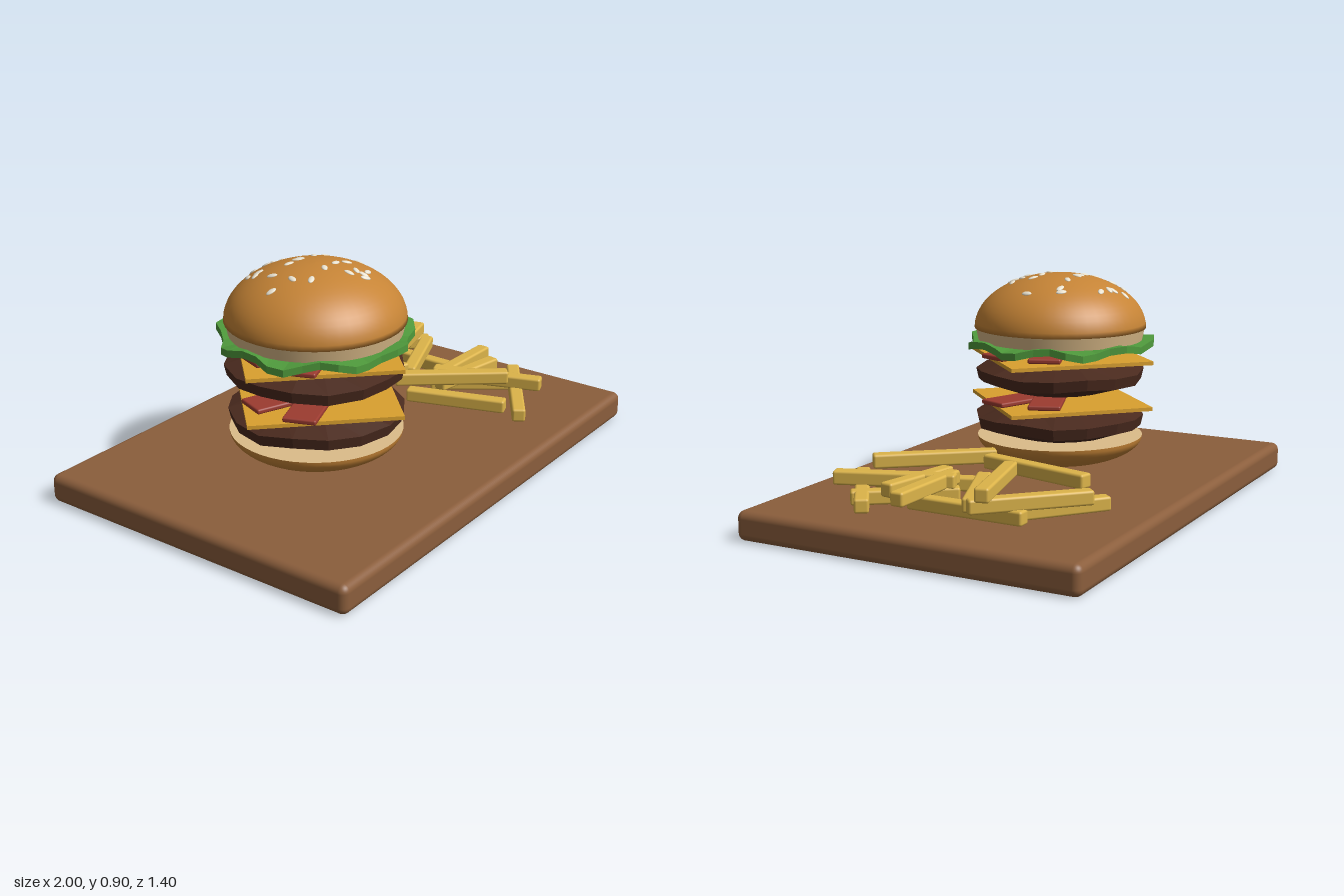
import * as THREE from 'three';
import { RoundedBoxGeometry } from 'three/addons/geometries/RoundedBoxGeometry.js';

const mat = (color, flatShading = false) => new THREE.MeshStandardMaterial({ color, flatShading });
const BOARD_TOP = 0.115;

function part(parent, name, geometry, material, x = 0, y = 0, z = 0) {
  const mesh = new THREE.Mesh(geometry, material);
  mesh.name = name;
  mesh.position.set(x, y, z);
  parent.add(mesh);
  return mesh;
}

// Lathe from [radius, y] pairs listed bottom to top
const lathe = (pairs, segments) =>
  new THREE.LatheGeometry(pairs.map(([r, y]) => new THREE.Vector2(r, y)), segments);

// Quarter-ellipse profile: side = 1 for a dome, -1 for a bowl
function ellipseProfile(radius, height, side, steps = 16) {
  const pts = [];
  for (let i = 0; i <= steps; i++) {
    const a = (i / steps) * Math.PI / 2;
    pts.push([Math.max(0, radius * Math.cos(a)), side * height * Math.sin(a)]);
  }
  return side > 0 ? pts : pts.reverse();
}

// Move each vertex by a rule of its angle, radius and height
function reshape(geometry, rule) {
  const p = geometry.attributes.position;
  for (let i = 0; i < p.count; i++) {
    const x = p.getX(i), y = p.getY(i), z = p.getZ(i);
    const [scale, lift] = rule(Math.atan2(x, z), Math.hypot(x, z), y);
    p.setXYZ(i, x * scale, y + lift, z * scale);
  }
  geometry.computeVertexNormals();
  return geometry;
}

// Faceted, slightly uneven meat disc
function pattyGeometry(phase) {
  const disc = lathe([[0, -0.065], [0.2, -0.065], [0.335, -0.022], [0.345, 0.022], [0.2, 0.065], [0, 0.065]], 16);
  return reshape(disc, (a, r) => {
    const bump = Math.sin(a * 3 + phase) + Math.sin(a * 7 + phase * 2);
    return [1 + 0.014 * bump, r > 0.25 ? 0.006 * Math.sin(a * 5 + phase) : 0];
  });
}

// Leaf with a ruffled, zigzag rim
function lettuceGeometry() {
  const leaf = lathe([[0, -0.008], [0.27, -0.008], [0.37, -0.014], [0.37, 0.014], [0.27, 0.012], [0, 0.012]], 36);
  return reshape(leaf, (a, r) => {
    const rim = THREE.MathUtils.clamp((r - 0.2) / 0.17, 0, 1);
    return [1 + rim * 0.05 * Math.sin(a * 9 + 0.6), rim * (0.013 * Math.sin(a * 7 + 1) - 0.006)];
  });
}

// Sesame seeds as [x, z] offsets from the bun centre
const SEEDS = [
  [-.04, -.27], [-.13, -.22], [-.14, -.175], [-.115, -.18], [.005, -.24], [.025, -.23], [.08, -.22],
  [-.23, -.025], [-.15, -.085], [-.15, .01], [-.12, .075], [-.05, -.085], [0, -.085], [.02, -.085],
  [.095, -.08], [.18, -.09], [.2, -.105], [.24, .027], [-.02, .06], [.055, .055], [.105, .07],
  [.025, .14], [.07, .14], [.115, .16], [.06, .19], [.075, .17],
];

// Fries as [x1, z1, x2, z2, layer]
const FRIES = [
  [.385, -.51, .7, -.25, 0], [.71, -.34, .7, .13, 0], [.37, .02, .5, .41, 0],
  [.53, .03, .76, .35, 0], [.45, .51, .85, .245, 0],
  [.5, -.5, .82, -.18, 1], [.46, -.04, .81, -.18, 1], [.48, .08, .86, .088, 1],
  [.54, .04, .69, .47, 1], [.44, .13, .77, .19, 1],
  [.485, -.47, .375, -.01, 2], [.44, -.14, .83, -.24, 2], [.29, .01, .58, .37, 2],
];

export function createModel() {
  const model = new THREE.Group();
  model.name = 'burgerBoard';

  // Wooden board
  part(model, 'board', new RoundedBoxGeometry(2, BOARD_TOP, 1.4, 4, 0.03), mat(0x8b5e3c), 0, BOARD_TOP / 2, 0);

  const burger = new THREE.Group();
  burger.name = 'burger';
  burger.position.x = -0.24;
  model.add(burger);

  const crust = mat(0xc68436), crumb = mat(0xdcbc8a), meat = mat(0x4a2a1e, true);
  const cheese = mat(0xdaa02e), bacon = mat(0x9c3b30), green = mat(0x4f9a3c, true);

  // Bottom bun with its cut face
  part(burger, 'bottomBun', lathe(ellipseProfile(0.34, 0.12, -1), 48), crust, 0, 0.235, 0);
  part(burger, 'bottomBunCutFace', new THREE.CircleGeometry(0.34, 48).rotateX(-Math.PI / 2), crumb, 0, 0.235, 0);

  // Two layers of patty, cheese and crossed bacon
  [0.302, 0.488].forEach((y, i) => {
    part(burger, 'patty', pattyGeometry(i * 2 + 0.5), meat, 0, y, 0);
    const slice = part(burger, 'cheeseSlice', new THREE.BoxGeometry(0.587, 0.015, 0.587), cheese, 0, y + 0.072, 0);
    slice.rotation.y = Math.PI / 4;
    for (const s of [-1, 1]) {
      const strip = part(burger, 'baconStrip', new RoundedBoxGeometry(0.65, 0.02, 0.13, 2, 0.007),
        bacon, 0, y + 0.096 + s * 0.001, 0.035);
      strip.rotation.y = s * 0.37;
    }
  });

  // Lettuce
  part(burger, 'lettuce', lettuceGeometry(), green, 0, 0.622, 0);

  // Top bun: pale cut band and domed crust
  part(burger, 'topBunBand', new THREE.CylinderGeometry(0.345, 0.335, 0.05, 48), crumb, 0, 0.657, 0);
  part(burger, 'topBunDome', lathe([[0, 0], ...ellipseProfile(0.35, 0.22, 1)], 48), crust, 0, 0.68, 0);

  // Sesame seeds, lying flat on the dome
  const seedGeometry = new THREE.SphereGeometry(1, 10, 8).scale(0.012, 0.006, 0.022);
  const seedMaterial = mat(0xe9e2d0), up = new THREE.Vector3(0, 1, 0);
  SEEDS.forEach(([x, z], i) => {
    const h = 0.22 * Math.sqrt(1 - (x * x + z * z) / 0.35 ** 2);
    const seed = part(burger, 'sesameSeed', seedGeometry, seedMaterial, x, 0.68 + h, z);
    const normal = new THREE.Vector3(x / 0.35 ** 2, h / 0.22 ** 2, z / 0.35 ** 2).normalize();
    seed.quaternion.setFromUnitVectors(up, normal);
    seed.rotateY(i * 2.4);
  });

  // Fries stacked in three layers
  const fries = new THREE.Group();
  fries.name = 'fries';
  model.add(fries);
  const potato = mat(0xdcb44a);
  for (const [x1, z1, x2, z2, layer] of FRIES) {
    const length = Math.hypot(x2 - x1, z2 - z1) + 0.01;
    const fry = part(fries, 'fry', new RoundedBoxGeometry(length, 0.055, 0.055, 2, 0.01), potato,
      (x1 + x2) / 2, 0.154 + layer * 0.048, (z1 + z2) / 2);
    fry.rotation.y = -Math.atan2(z2 - z1, x2 - x1);
  }

  return model;
}
